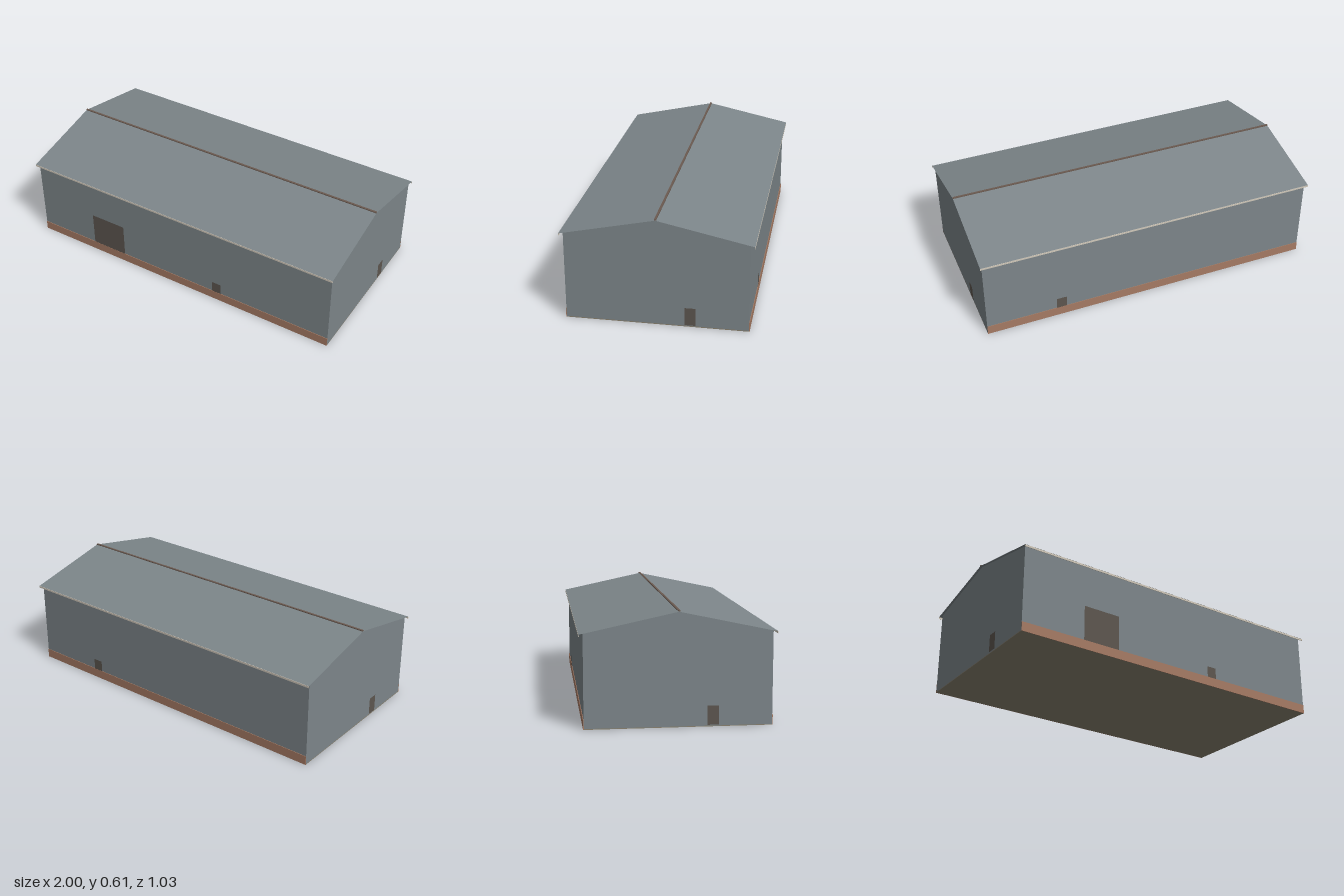
import * as THREE from 'three';

export function createModel() {
  const group = new THREE.Group();
  group.name = 'warehouse';

  const mat = (name, color, side = THREE.FrontSide) => {
    const m = new THREE.MeshStandardMaterial({ color, side });
    m.name = name;
    return m;
  };
  const cladding = mat('greyCladding', 0x7d868a, THREE.DoubleSide);
  const plinthMat = mat('brickPlinth', 0xa67b64);
  const doorMat = mat('darkBrownDoor', 0x5d564f, THREE.DoubleSide);
  const capMat = mat('brownRidge', 0x6b5a50, THREE.DoubleSide);
  const concrete = mat('tanConcrete', 0x8a8270);
  const trim = mat('creamTrim', 0xd2cabc);

  const add = (name, geometry, material, x = 0, y = 0, z = 0) => {
    const mesh = new THREE.Mesh(geometry, material);
    mesh.name = name;
    mesh.position.set(x, y, z);
    group.add(mesh);
    return mesh;
  };
  const box = (name, w, h, d, x, y, z, material) =>
    add(name, new THREE.BoxGeometry(w, h, d), material, x, y, z);
  // Flat door panel turned to face outward
  const panel = (name, w, h, x, y, z, turn) => {
    add(name, new THREE.PlaneGeometry(w, h), doorMat, x, y, z).rotation.y = turn;
  };

  const HX = 0.988, HZ = 0.494;          // half size of the walls
  const RIDGE = 0.608;                   // top of the roof sheets
  const OVER = 0.516, OVER_Y = 0.498;    // roof overhang

  // Gabled wall body, extruded along x
  const gable = new THREE.Shape([
    new THREE.Vector2(-HZ, 0.004), new THREE.Vector2(HZ, 0.004),
    new THREE.Vector2(HZ, 0.5), new THREE.Vector2(0, 0.6055),
    new THREE.Vector2(-HZ, 0.5),
  ]);
  const body = new THREE.ExtrudeGeometry(gable, { depth: HX * 2, bevelEnabled: false });
  body.translate(0, 0, -HX).rotateY(Math.PI / 2);
  add('walls', body, cladding);

  // Floor slab
  box('floorSlab', HX * 2, 0.005, HZ * 2, 0, 0.0025, 0, concrete);

  // Sheet roof slopes, eave trims and plinths on both long sides
  for (const s of [1, -1]) {
    const side = s > 0 ? 'front' : 'back';
    const slope = new THREE.PlaneGeometry(2, Math.hypot(OVER, RIDGE - OVER_Y));
    slope.rotateX(-Math.PI / 2);
    add(side + 'RoofSlope', slope, cladding, 0, (RIDGE + OVER_Y) / 2, s * OVER / 2)
      .rotation.x = s * Math.atan2(RIDGE - OVER_Y, OVER);
    box(side + 'EaveTrim', 2, 0.011, 0.003, 0, 0.4915, s * 0.515, trim);
    box(side + 'Plinth', HX * 2, 0.053, 0.004, 0, 0.0265, s * (HZ + 0.001), plinthMat);
  }

  // Ridge cap
  box('ridgeCap', 2, 0.005, 0.012, 0, 0.6115, 0, capMat);

  // Doors on the long sides
  const Z = HZ + 0.002;
  panel('loadingDoor', 0.225, 0.204, -0.495, 0.155, Z, 0);
  panel('frontHatch', 0.06, 0.066, 0.268, 0.086, Z, 0);
  panel('backHatch', 0.06, 0.066, 0.545, 0.086, -Z, Math.PI);

  // Doors on the gable ends
  for (const s of [1, -1])
    panel(s > 0 ? 'leftEndDoor' : 'rightEndDoor', 0.06, 0.102,
      s * (HX + 0.002), 0.06, -s * 0.18, s * Math.PI / 2);

  return group;
}
